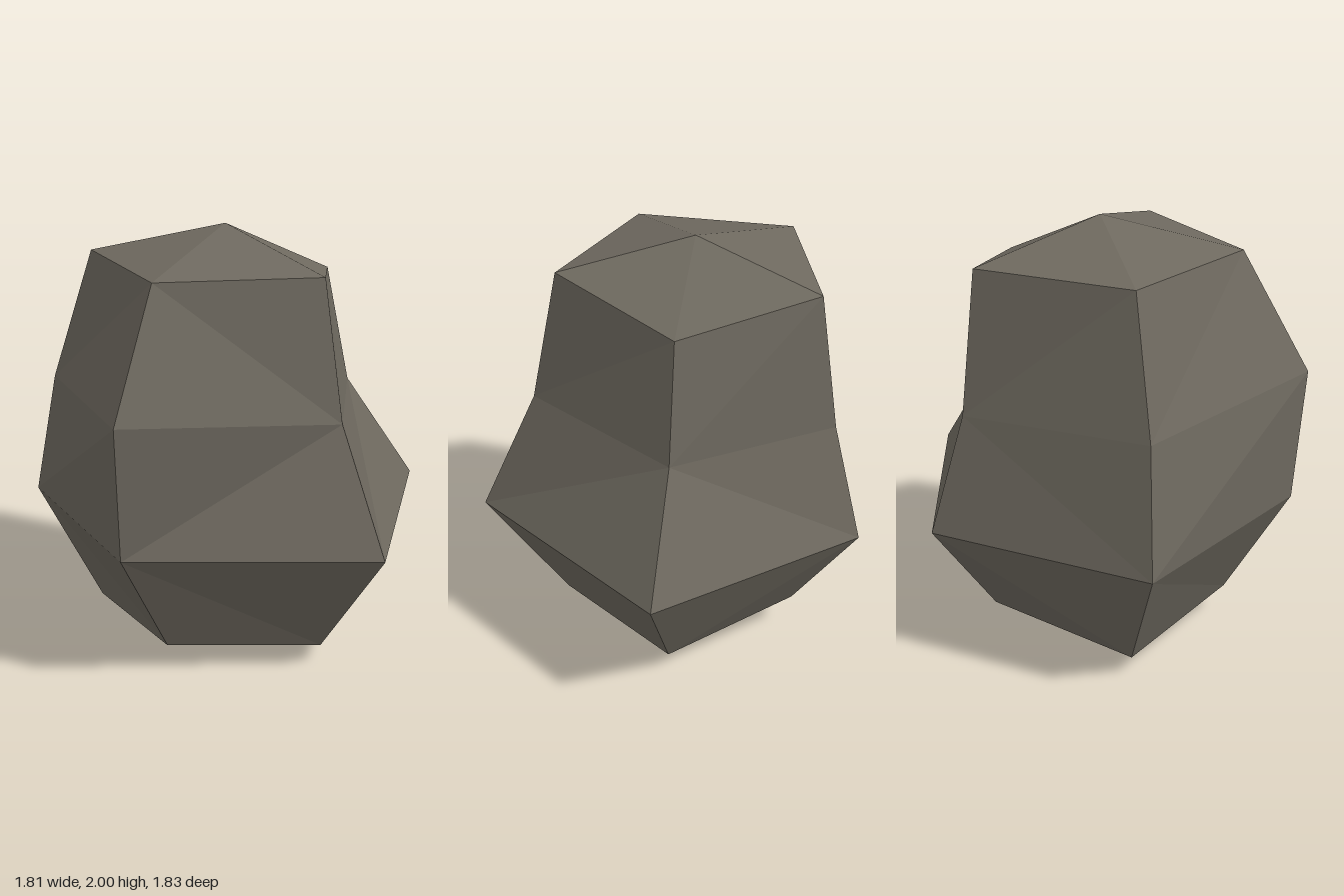
import * as THREE from 'three';

// Five-cornered rings from top to bottom; corners run east, front, front-west, back-west, back
const rings = [
  [[0.41, 1.74, -0.08], [0.07, 1.85, 0.54], [-0.65, 1.85, 0.31], [-0.65, 1.85, -0.45], [0.07, 1.85, -0.68]],
  [[0.53, 1.17, -0.08], [0.10, 1.21, 0.66], [-0.91, 1.28, 0.49], [-0.82, 1.23, -0.55], [0.07, 1.19, -0.77]],
  [[0.90, 0.63, -0.07], [0.19, 0.63, 0.91], [-0.88, 0.65, 0.45], [-0.905, 0.64, -0.63], [0.145, 0.64, -0.915]],
  [[0.51, 0.09, -0.07], [0.07, 0.09, 0.54], [-0.61, 0.13, 0.31], [-0.65, 0.09, -0.45], [0.06, 0.18, -0.60]],
];
const topPoint = [-0.13, 2, -0.07];
const bottomPoint = [-0.13, 0, -0.07];

// Crease direction of each facet: 1 falls towards the next corner, 0 towards the current one
const creases = [
  [1, 0, 1, 1, 1],
  [1, 1, 1, 0, 0],
  [1, 0, 0, 0, 1],
];

function rockGeometry() {
  const positions = [];
  const tri = (...corners) => corners.forEach((p) => positions.push(...p));

  for (let i = 0; i < 5; i++) {
    const j = (i + 1) % 5;
    // Top and bottom caps
    tri(topPoint, rings[0][j], rings[0][i]);
    tri(bottomPoint, rings[3][i], rings[3][j]);

    // Side facets between neighbouring rings
    for (let r = 0; r < 3; r++) {
      const a = rings[r][i], b = rings[r][j];
      const c = rings[r + 1][j], d = rings[r + 1][i];
      if (creases[r][i]) {
        tri(a, b, c);
        tri(a, c, d);
      } else {
        tri(a, b, d);
        tri(b, c, d);
      }
    }
  }

  const geometry = new THREE.BufferGeometry();
  geometry.setAttribute('position', new THREE.Float32BufferAttribute(positions, 3));
  geometry.computeVertexNormals();
  return geometry;
}

export function createModel() {
  const stone = new THREE.MeshStandardMaterial({ color: 0x6e695f, flatShading: true });
  stone.name = 'stone grey';

  const rock = new THREE.Mesh(rockGeometry(), stone);
  rock.name = 'rock';

  const model = new THREE.Group();
  model.name = 'boulder';
  model.add(rock);
  return model;
}
